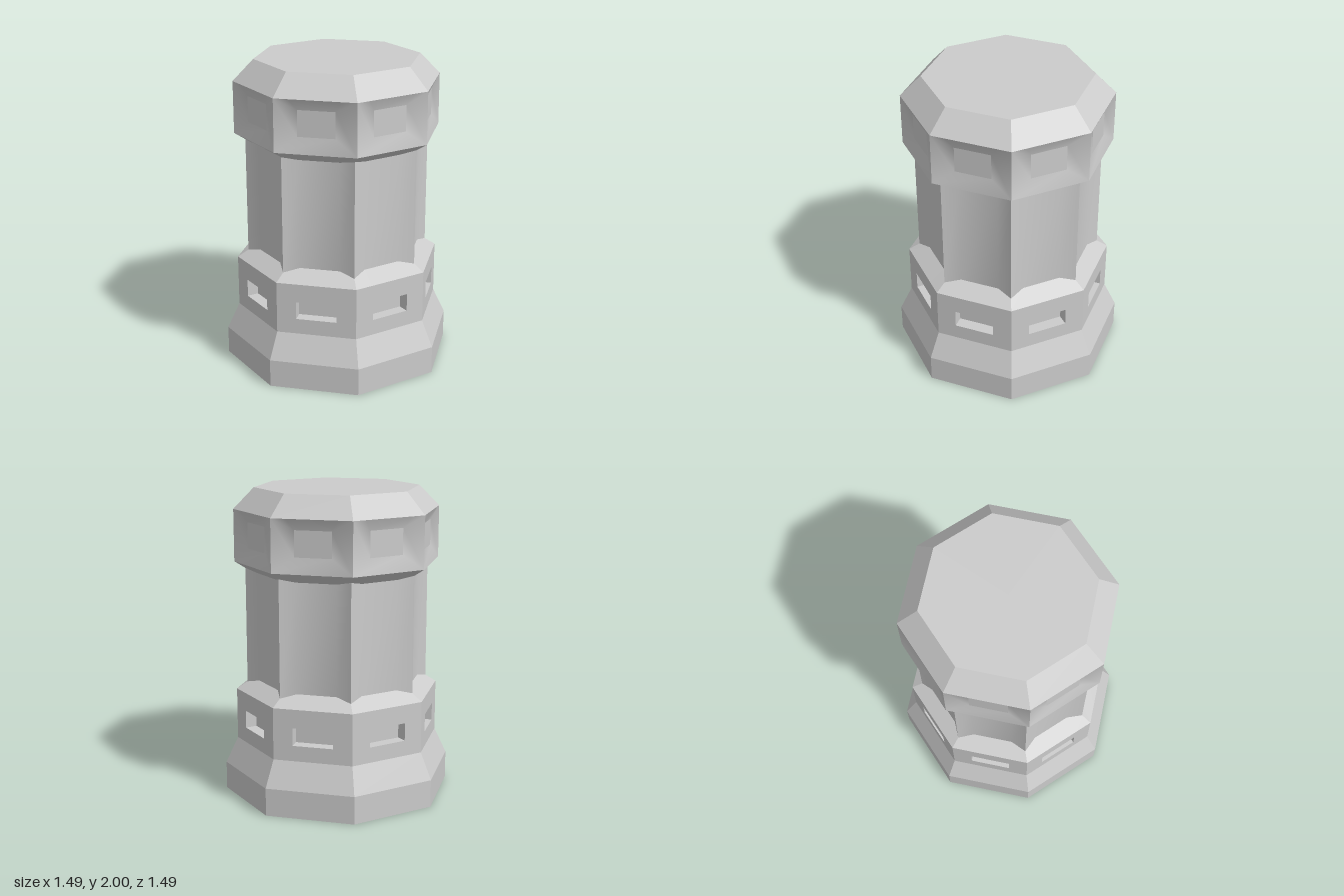
import * as THREE from 'three';
import { toCreasedNormals } from 'three/addons/utils/BufferGeometryUtils.js';

const SIDES = 8;
const flat = new THREE.MeshStandardMaterial({ color: 0xcccccc, flatShading: true });
const smooth = new THREE.MeshStandardMaterial({ color: 0xcccccc });

// Point on octagon side k: t runs along the side, y is height, d is depth behind it
function sidePoint(k, r, t, y, d = 0) {
  const a = (k * 2 * Math.PI) / SIDES, b = ((k + 1) * 2 * Math.PI) / SIDES, m = (a + b) / 2;
  return [
    r * (Math.sin(a) * (1 - t) + Math.sin(b) * t) - d * Math.sin(m),
    y,
    r * (Math.cos(a) * (1 - t) + Math.cos(b) * t) - d * Math.cos(m),
  ];
}

// Geometry from a list of four-cornered faces (counter-clockwise from outside)
function fromQuads(quads) {
  const pos = quads.flatMap(([a, b, c, d]) => [a, b, c, a, c, d].flat());
  const geo = new THREE.BufferGeometry();
  geo.setAttribute('position', new THREE.Float32BufferAttribute(pos, 3));
  geo.computeVertexNormals();
  return geo;
}

// Four faces joining one rectangle of corners to another
const bridge = (outer, inner) => outer.map((p, i) => {
  const j = (i + 1) % 4;
  return [p, outer[j], inner[j], inner[i]];
});

// Rectangle of corners on side k
const rect = (k, r, t0, t1, y0, y1, d = 0) => [
  sidePoint(k, r, t0, y0, d), sidePoint(k, r, t1, y0, d),
  sidePoint(k, r, t1, y1, d), sidePoint(k, r, t0, y1, d),
];

const eachSide = (fn) => Array.from({ length: SIDES }, (_, k) => fn(k)).flat();

// Ring with every side hollowed by d between two kinks; corners at y, hollow at yHollow
const ring = (r, y, yHollow = y, d = 0) => eachSide((k) => [
  sidePoint(k, r, 0, y), sidePoint(k, r, 0.22, yHollow, d), sidePoint(k, r, 0.78, yHollow, d),
]);

// Wall between a lower and an upper ring
const loft = (low, high) => low.map((p, i) => {
  const j = (i + 1) % low.length;
  return [p, low[j], high[j], high[i]];
});

export function createModel() {
  const group = new THREE.Group();
  const add = (name, geo, mat = flat) => {
    const mesh = new THREE.Mesh(geo, mat);
    mesh.name = name;
    group.add(mesh);
    return mesh;
  };
  const tier = (name, rLow, rHigh, y0, y1) => {
    const geo = new THREE.CylinderGeometry(rHigh, rLow, y1 - y0, SIDES);
    add(name, geo).position.y = (y0 + y1) / 2;
  };

  // Foot
  tier('basePlinth', 0.745, 0.745, 0, 0.18);
  tier('baseFlare', 0.745, 0.665, 0.18, 0.35);

  // Band with a window slot in each side
  const R = 0.665;
  const band = eachSide((k) => {
    const opening = rect(k, R, 0.245, 0.755, 0.45, 0.565);
    const back = rect(k, R, 0.245, 0.755, 0.45, 0.565, 0.075);
    return [...bridge(rect(k, R, 0, 1, 0.35, 0.685), opening), ...bridge(opening, back), back];
  });
  add('slottedBand', fromQuads(band));

  // Column with hollowed sides, and the sloped shoulders that meet it
  const columnLow = ring(0.595, 0.73, 0.755, 0.037);
  const columnHigh = ring(0.595, 1.485, 1.463, 0.037);
  add('lowerShoulder', fromQuads(loft(ring(R, 0.685), columnLow)));
  add('column', toCreasedNormals(fromQuads(loft(columnLow, columnHigh)), 0.5), smooth);
  add('upperShoulder', fromQuads(loft(columnHigh, ring(R, 1.53))));

  // Head with a shallow dished panel in each side
  const panel = (k) => rect(k, R, 0.27, 0.73, 1.63, 1.795, 0.03);
  const surround = eachSide((k) => {
    const [a, b, c, d] = rect(k, R, 0, 1, 1.53, 1.865);
    const [pa, pb, pc, pd] = panel(k);
    const topLeft = sidePoint(k, R, 0.18, 1.865), topRight = sidePoint(k, R, 0.82, 1.865);
    return [
      [a, b, pb, pa], [b, c, pc, pb], [d, a, pa, pd],
      [pd, pc, topRight, topLeft],
      [c, topRight, pc, pc], [topLeft, d, pd, pd],
    ];
  });
  add('headSurround', toCreasedNormals(fromQuads(surround), 0.5), smooth);
  add('headPanels', fromQuads(eachSide((k) => [panel(k)])));

  // Bevelled lid
  tier('lid', R, 0.533, 1.865, 2);
  return group;
}
